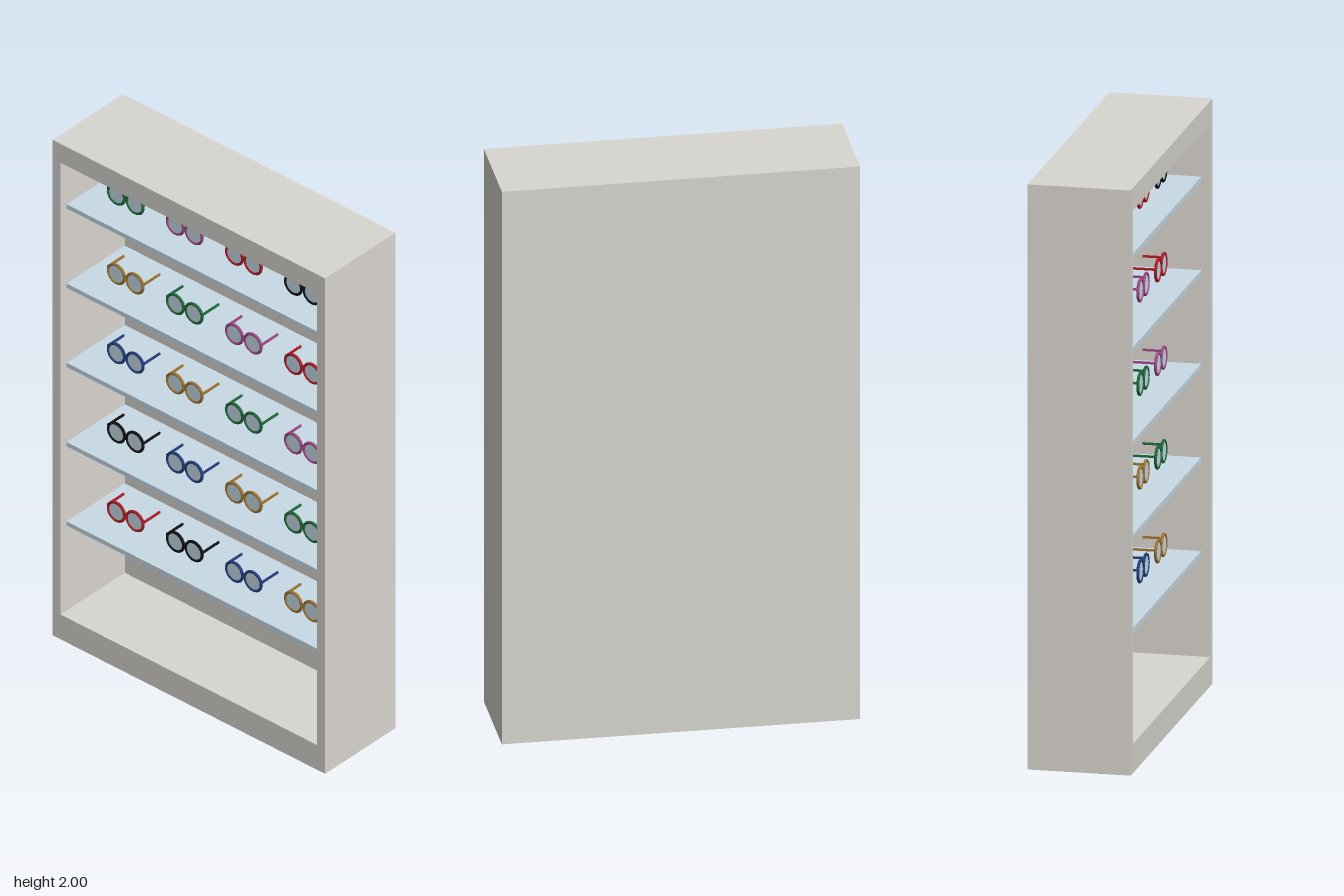
import * as THREE from 'three';

const material = (name, color) => {
  const m = new THREE.MeshStandardMaterial({ color });
  m.name = name;
  return m;
};

const part = (name, geometry, mat, x = 0, y = 0, z = 0) => {
  const mesh = new THREE.Mesh(geometry, mat);
  mesh.name = name;
  mesh.position.set(x, y, z);
  return mesh;
};

export function createModel() {
  const model = new THREE.Group();
  model.name = 'eyewearDisplayCabinet';

  const cabinetMat = material('warm grey', 0xd9d6d0);
  const glassMat = material('pale blue glass', 0xc8dbe6);
  const frameMats = [
    material('red', 0xb01c26),
    material('black', 0x111116),
    material('navy blue', 0x22407f),
    material('amber', 0xa07632),
    material('green', 0x1f6a3a),
    material('plum', 0xa04a86),
  ];

  // Cabinet: a surround with a rectangular opening, closed by a back panel
  const backThickness = 0.03;
  const outline = new THREE.Shape();
  outline.moveTo(-0.6, 0).lineTo(0.6, 0).lineTo(0.6, 2).lineTo(-0.6, 2).closePath();
  const opening = new THREE.Path();
  opening.moveTo(-0.565, 0.1).lineTo(-0.565, 1.924).lineTo(0.565, 1.924).lineTo(0.565, 0.1).closePath();
  outline.holes.push(opening);
  const surround = new THREE.ExtrudeGeometry(outline, { depth: 0.35, bevelEnabled: false });
  model.add(part('cabinetSurround', surround, cabinetMat, 0, 0, -0.175));
  const back = new THREE.BoxGeometry(1.13, 1.824, backThickness);
  model.add(part('backPanel', back, cabinetMat, 0, 1.012, -0.175 + backThickness / 2));

  // Shared pieces of a pair of glasses
  const half = 0.041;
  const rimGeo = new THREE.TorusGeometry(0.0355, 0.0052, 8, 28);
  const lensGeo = new THREE.CylinderGeometry(0.034, 0.034, 0.003, 28).rotateX(Math.PI / 2);
  const bridgeCurve = new THREE.QuadraticBezierCurve3(
    new THREE.Vector3(-0.01, 0.008, 0),
    new THREE.Vector3(0, 0.014, 0.003),
    new THREE.Vector3(0.01, 0.008, 0),
  );
  const bridgeGeo = new THREE.TubeGeometry(bridgeCurve, 8, 0.004, 6);
  const templeGeo = new THREE.BoxGeometry(0.006, 0.007, 0.08);

  const makeGlasses = (mat) => {
    const glasses = new THREE.Group();
    glasses.name = 'glasses';
    for (const side of [-1, 1]) {
      glasses.add(part('rim', rimGeo, mat, side * half, 0, 0));
      glasses.add(part('lens', lensGeo, glassMat, side * half, 0, 0));
      glasses.add(part('temple', templeGeo, mat, side * 0.079, 0.012, -0.04));
    }
    glasses.add(part('bridge', bridgeGeo, mat));
    return glasses;
  };

  // Five glass shelves, each with four pairs; colours shift by one per shelf
  const shelfBack = -0.175 + backThickness;
  const shelfFront = 0.145;
  const shelfGeo = new THREE.BoxGeometry(1.13, 0.017, shelfFront - shelfBack);
  for (let row = 0; row < 5; row++) {
    const y = 0.452 + row * 0.32;
    model.add(part('shelf', shelfGeo, glassMat, 0, y, (shelfFront + shelfBack) / 2));
    for (let col = 0; col < 4; col++) {
      const glasses = makeGlasses(frameMats[(row + col) % frameMats.length]);
      glasses.position.set((col - 1.5) * 0.26, y + 0.059, 0.048);
      model.add(glasses);
    }
  }

  return model;
}
